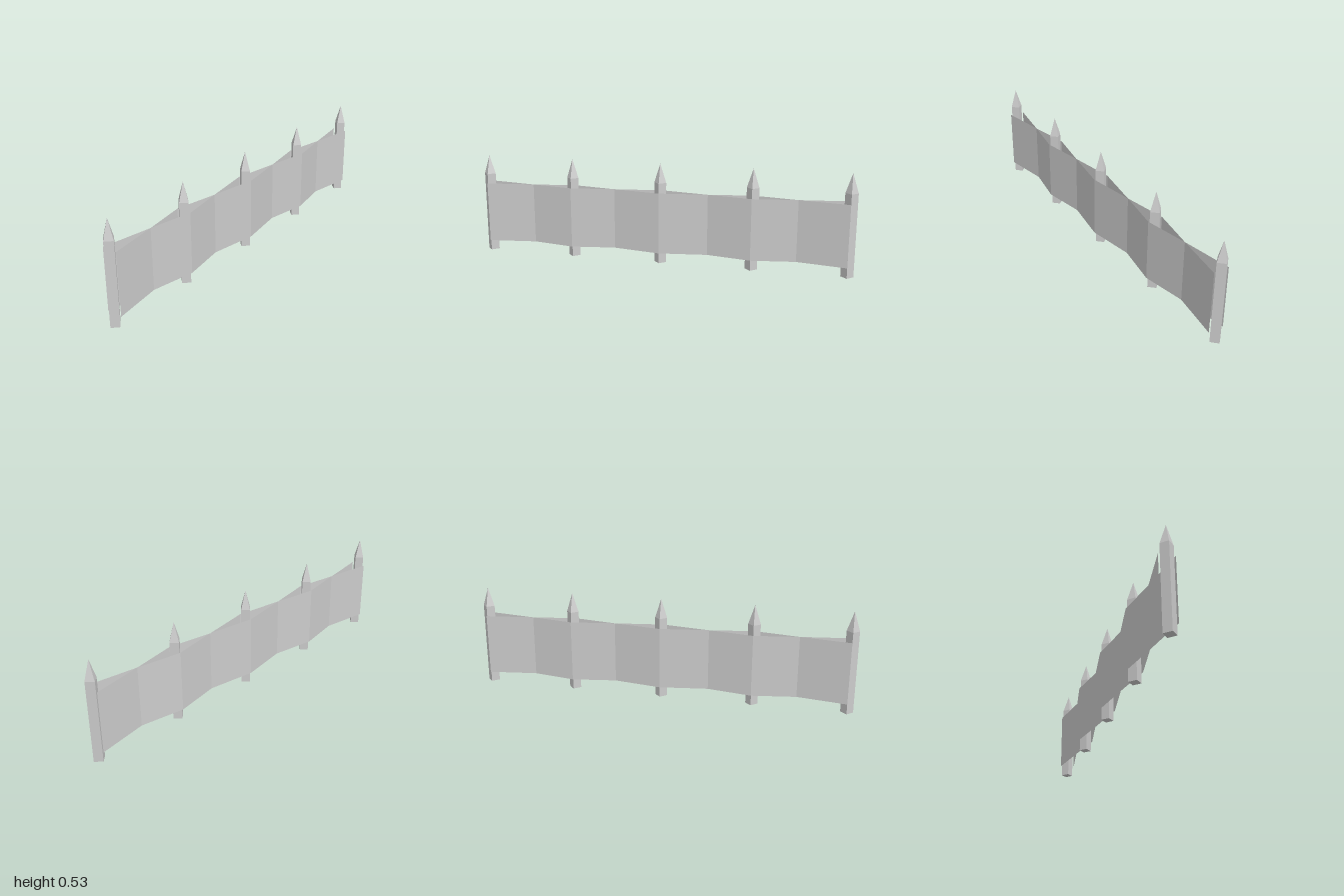
import * as THREE from 'three';

export function createModel() {
  const group = new THREE.Group();
  const grey = new THREE.MeshStandardMaterial({ color: 0xcccccc, flatShading: true, side: THREE.DoubleSide });
  grey.name = 'grey';

  // Pointed square posts, turned corner-forward
  const profile = [[0, 0], [0.032, 0], [0.032, 0.43], [0, 0.53]].map(([r, y]) => new THREE.Vector2(r, y));
  const postGeometry = new THREE.LatheGeometry(profile, 4);
  const postX = [-0.968, -0.484, 0, 0.484, 0.968];
  postX.forEach((x) => {
    const post = new THREE.Mesh(postGeometry, grey);
    post.name = 'post';
    post.position.x = x;
    group.add(post);
  });

  // Thin folded sheets: outside the posts, pinched together between them
  const foldX = [-0.968, -0.713, -0.484, -0.252, 0, 0.252, 0.484, 0.713, 0.968];
  const bottom = 0.057, top = 0.38;
  for (const side of [1, -1]) {
    const geometry = new THREE.PlaneGeometry(1, 1, foldX.length - 1, 1);
    const position = geometry.attributes.position;
    for (let i = 0; i < position.count; i++) {
      const column = i % foldX.length;
      const y = i < foldX.length ? top : bottom;
      position.setXYZ(i, side * foldX[column], y, column % 2 ? 0 : side * 0.04);
    }
    geometry.computeVertexNormals();
    const panel = new THREE.Mesh(geometry, grey);
    panel.name = side > 0 ? 'frontPanel' : 'backPanel';
    group.add(panel);
  }
  return group;
}
